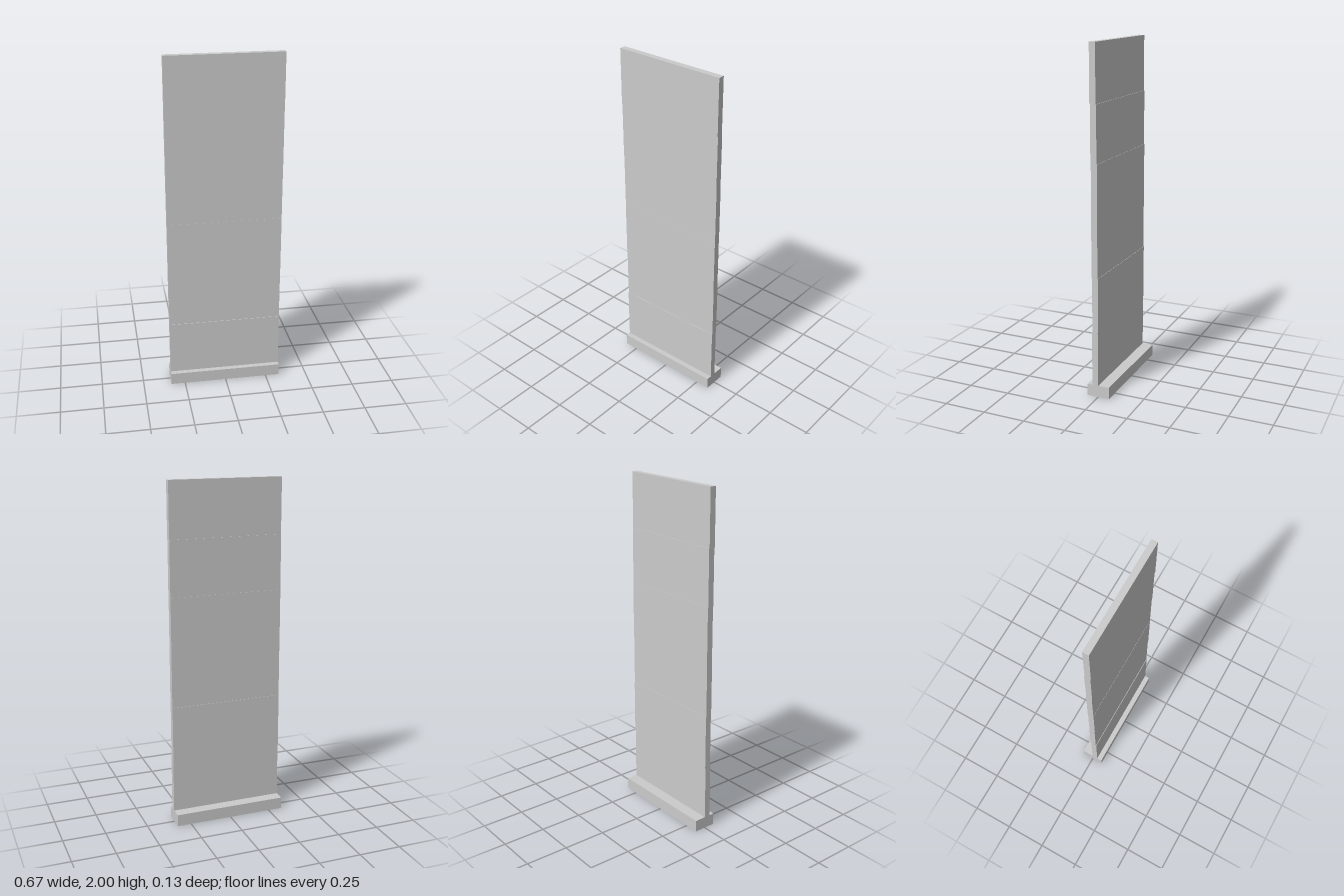
import * as THREE from 'three';

const WIDTH = 0.666, BASE_HEIGHT = 0.07, BASE_DEPTH = 0.134;
const PANEL_DEPTH = 0.036, HEIGHT = 2;

export function createModel() {
  const model = new THREE.Group();
  model.name = 'panelWall';
  const material = new THREE.MeshStandardMaterial({ color: 0xcccccc, flatShading: true });

  const addBox = (name, h, d, y, z) => {
    const mesh = new THREE.Mesh(new THREE.BoxGeometry(WIDTH, h, d), material);
    mesh.name = name;
    mesh.position.set(0, y + h / 2, z);
    model.add(mesh);
  };

  // Wide foot
  addBox('base', BASE_HEIGHT, BASE_DEPTH, 0, 0);

  // Stacked boards, each set very slightly forward or back of its neighbour
  const backFaces = [0, -0.003, -0.001, -0.002, 0, 0.003];
  const boardHeight = (HEIGHT - BASE_HEIGHT) / backFaces.length;
  backFaces.forEach((back, i) => {
    addBox(`board${i + 1}`, boardHeight, PANEL_DEPTH,
      BASE_HEIGHT + i * boardHeight, back + PANEL_DEPTH / 2);
  });

  return model;
}
